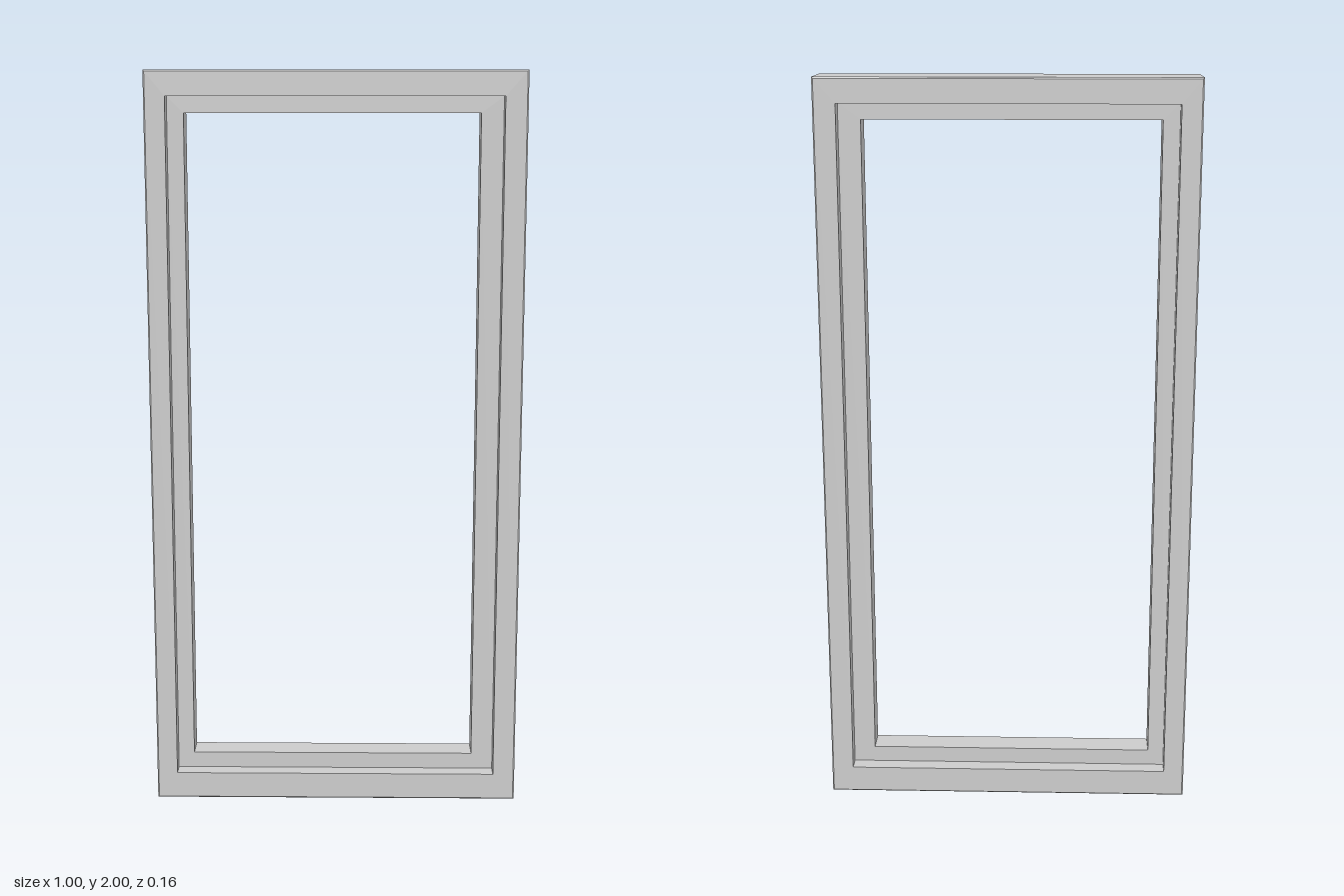
import * as THREE from 'three';

const material = new THREE.MeshStandardMaterial({ color: 0xcccccc, flatShading: true });

// Rectangles the profile passes through: [left, right, bottom, top]
const OUTER = [-0.5, 0.5, 0, 2];
const CHAMFER = [-0.496, 0.496, 0.004, 1.996];
const REBATE = [-0.444, 0.44, 0.074, 1.933];
const OPENING = [-0.4, 0.381, 0.118, 1.89];
const Z_FACE = 0.082, Z_SIDE = 0.077, Z_STOP = 0.037;

// Skins a sequence of [rectangle, z] loops with mitred corners
function sweepFrame(name, profile) {
  const loops = profile.map(([[x0, x1, y0, y1], z]) => [
    [x0, y0, z], [x1, y0, z], [x1, y1, z], [x0, y1, z],
  ]);
  const positions = [];
  for (let i = 0; i < loops.length - 1; i++) {
    for (let k = 0; k < 4; k++) {
      const n = (k + 1) % 4;
      const a = loops[i][k], b = loops[i][n], c = loops[i + 1][n], d = loops[i + 1][k];
      positions.push(...a, ...b, ...c, ...a, ...c, ...d);
    }
  }
  const geometry = new THREE.BufferGeometry();
  geometry.setAttribute('position', new THREE.Float32BufferAttribute(positions, 3));
  geometry.computeVertexNormals();
  const mesh = new THREE.Mesh(geometry, material);
  mesh.name = name;
  return mesh;
}

export function createModel() {
  const group = new THREE.Group();
  group.name = 'windowFrame';

  // Chamfered outer frame with a rebate on both faces
  group.add(sweepFrame('outerFrame', [
    [REBATE, -Z_STOP], [REBATE, -Z_FACE], [CHAMFER, -Z_FACE], [OUTER, -Z_SIDE],
    [OUTER, Z_SIDE], [CHAMFER, Z_FACE], [REBATE, Z_FACE], [REBATE, Z_STOP],
  ]));

  // Thinner stop around the opening, centred in the depth
  group.add(sweepFrame('innerStop', [
    [REBATE, Z_STOP], [OPENING, Z_STOP], [OPENING, -Z_STOP], [REBATE, -Z_STOP],
  ]));

  return group;
}
